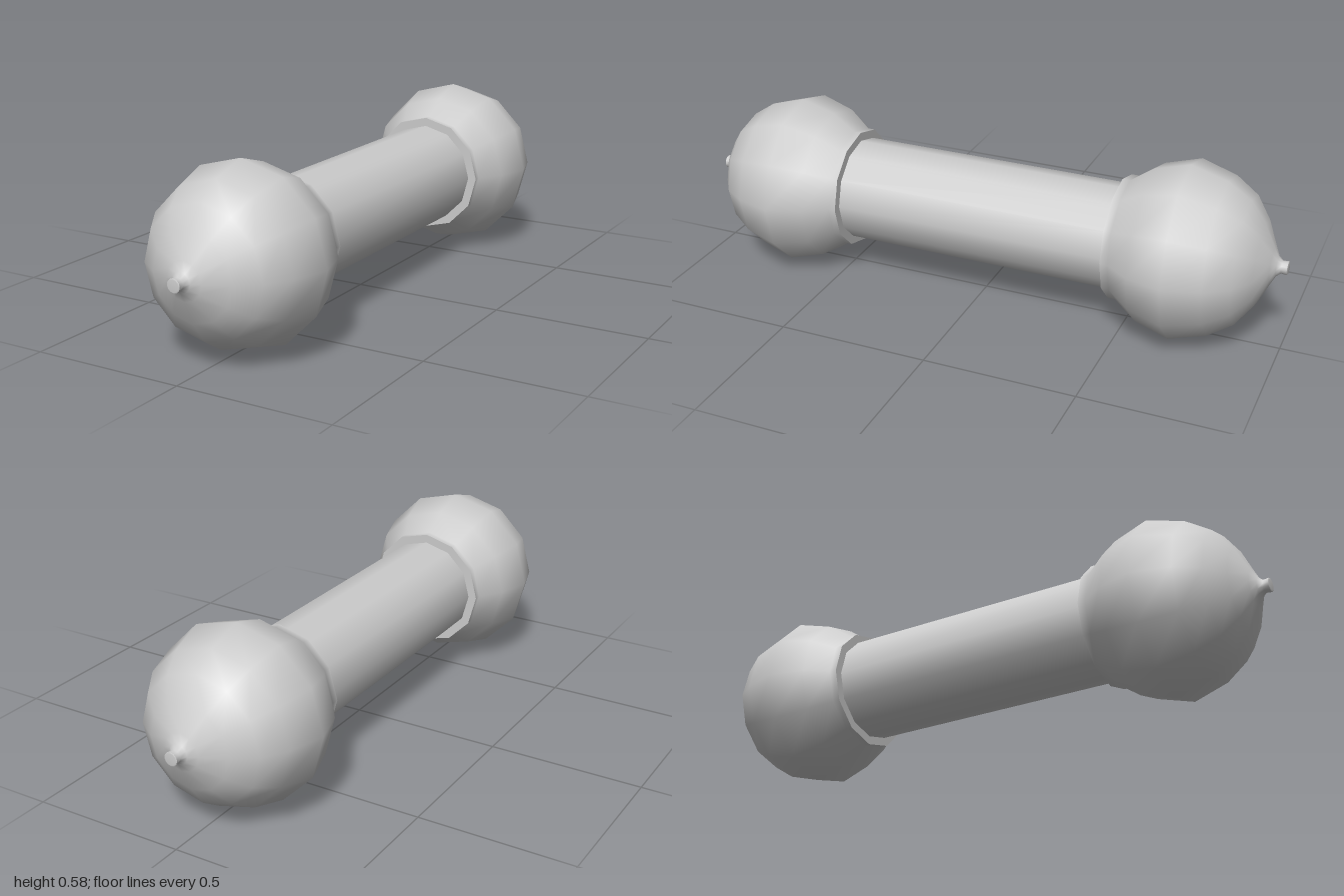
import * as THREE from 'three';

const SIDES = 12;
const AXIS_Y = 0.289;

// Turned part whose profile is [radius, z], running along +z
function turned(name, profile, material) {
  const points = profile.map(([r, z]) => new THREE.Vector2(r, z));
  const geometry = new THREE.LatheGeometry(points, SIDES);
  geometry.rotateX(Math.PI / 2);
  const mesh = new THREE.Mesh(geometry, material);
  mesh.name = name;
  return mesh;
}

export function createModel() {
  const material = new THREE.MeshStandardMaterial({ color: 0xcccccc });
  const model = new THREE.Group();
  model.name = 'dumbbell';

  // Straight grip between the two weights
  model.add(turned('gripBar', [[0.171, -0.47], [0.171, 0.47]], material));

  // Round weight with a collar and a small pointed nub, one at each end
  for (const [name, turn] of [['frontWeight', 0], ['backWeight', Math.PI]]) {
    const weight = new THREE.Group();
    weight.name = name;
    weight.add(
      turned('collarFace', [[0.15, 0.46], [0.2, 0.46]], material),
      turned('ball', [
        [0.2, 0.46], [0.2, 0.485], [0.254, 0.56], [0.288, 0.675], [0.253, 0.793],
        [0.204, 0.868], [0.135, 0.917], [0.06, 0.952], [0.032, 0.966],
        [0.02, 0.98], [0.022, 0.998],
      ], material),
      turned('nubTip', [[0.022, 0.998], [0.018, 1], [0, 1]], material),
    );
    weight.rotation.y = turn;
    model.add(weight);
  }

  model.position.y = AXIS_Y;
  const root = new THREE.Group();
  root.add(model);
  return root;
}
